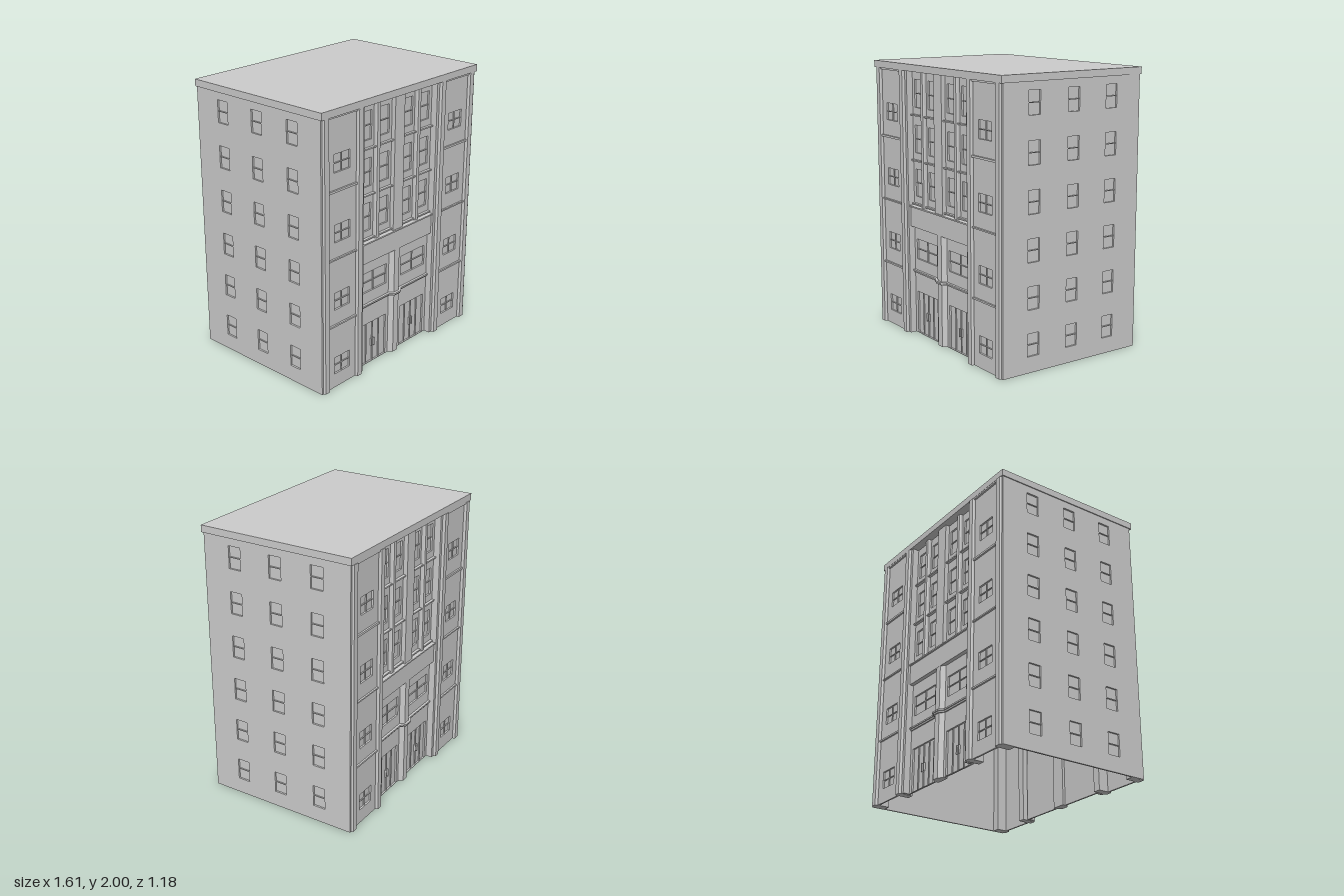
import * as THREE from 'three';

const mat = new THREE.MeshStandardMaterial({ color: 0xcccccc, side: THREE.DoubleSide, flatShading: true });
const T = 0.013; // wall thickness, also the depth of the window recesses

function add(parent, name, geo) {
  const m = new THREE.Mesh(geo, mat);
  m.name = name;
  parent.add(m);
  return m;
}

// box given by its limits
function block(parent, name, x0, x1, y0, y1, z0, z1) {
  add(parent, name, new THREE.BoxGeometry(x1 - x0, y1 - y0, z1 - z0))
    .position.set((x0 + x1) / 2, (y0 + y1) / 2, (z0 + z1) / 2);
}

// upright pier whose front corners are chamfered
function pier(parent, name, x, halfBack, halfFront, zBack, zMid, zFront, y0, y1) {
  const s = new THREE.Shape([
    [-halfBack, zBack], [-halfBack, zMid], [-halfFront, zFront],
    [halfFront, zFront], [halfBack, zMid], [halfBack, zBack],
  ].map(([px, pz]) => new THREE.Vector2(x + px, -pz)));
  const g = new THREE.ExtrudeGeometry(s, { depth: y1 - y0, bevelEnabled: false });
  g.rotateX(-Math.PI / 2);
  add(parent, name, g).position.y = y0;
}

function rect(target, x0, x1, y0, y1) {
  target.moveTo(x0, y0);
  target.lineTo(x1, y0);
  target.lineTo(x1, y1);
  target.lineTo(x0, y1);
  target.closePath();
  return target;
}

// wall facing +z with recessed windows; each opening is {x, y, w, h, cols, rows}
function wall(parent, name, x0, x1, y0, y1, z, openings = []) {
  const s = rect(new THREE.Shape(), x0, x1, y0, y1);
  for (const o of openings) {
    s.holes.push(rect(new THREE.Path(), o.x - o.w / 2, o.x + o.w / 2, o.y, o.y + o.h));
  }
  add(parent, name, new THREE.ExtrudeGeometry(s, { depth: T, bevelEnabled: false })).position.z = z - T;
  for (const o of openings) {
    const left = o.x - o.w / 2;
    add(parent, 'windowPane', new THREE.PlaneGeometry(o.w, o.h)).position.set(o.x, o.y + o.h / 2, z - T);
    for (let i = 1; i < o.cols; i++) {
      const x = left + (o.w * i) / o.cols;
      block(parent, 'mullion', x - 0.003, x + 0.003, o.y, o.y + o.h, z - T, z - 0.005);
    }
    for (let j = 1; j < o.rows; j++) {
      const y = o.y + (o.h * j) / o.rows;
      block(parent, 'glazingBar', left, left + o.w, y - 0.003, y + 0.003, z - T, z - 0.005);
    }
  }
}

function facade() {
  const f = new THREE.Group();
  f.name = 'facade';
  const zFlank = 0.57, zBay = 0.522, top = 1.95;

  for (const s of [-1, 1]) {
    const span = (a, b) => (s > 0 ? [a, b] : [-b, -a]);

    // flank with one window per storey
    wall(f, 'flankWall', ...span(0.38, 0.8), 0, top, zFlank,
      [0.105, 0.595, 1.085, 1.57].map(y => ({ x: s * 0.595, y, w: 0.15, h: 0.125, cols: 2, rows: 2 })));
    block(f, 'cornerStrip', ...span(0.785, 0.8), 0, top, zFlank - T, 0.576);
    for (const [y, h] of [[0.475, 0.012], [0.965, 0.01], [1.44, 0.015], [1.938, 0.012]]) {
      block(f, 'flankLedge', ...span(0.46, 0.73), y, y + h, zFlank - 0.005, 0.583);
    }

    // pilasters framing the flank
    for (const x of [0.432, 0.758]) {
      pier(f, 'pilaster', s * x, 0.028, 0.021, 0.48, 0.578, 0.59, 0, top);
    }

    // return of the recessed centre bay
    block(f, 'bayReveal', ...span(0.38, 0.392), 0, top, zBay - T, zFlank);

    // ground floor doors and the wide window above them
    wall(f, 'shopFront', ...span(0, 0.38), 0, 0.83, zBay, [
      { x: s * 0.215, y: 0.004, w: 0.27, h: 0.316, cols: 4, rows: 1 },
      { x: s * 0.215, y: 0.57, w: 0.27, h: 0.15, cols: 2, rows: 2 },
    ]);
    for (const dx of [-0.012, 0.012]) {
      const x = s * 0.215 + dx;
      block(f, 'doorHandle', x - 0.003, x + 0.003, 0.12, 0.18, zBay - T, zBay + 0.002);
    }

    // upper storeys, two columns of three windows
    const windows = [];
    for (const x of [0.123, 0.303]) {
      for (const y of [0.98, 1.3, 1.628]) {
        windows.push({ x: s * x, y: y + 0.06, w: 0.095, h: 0.2, cols: 1, rows: 2 });
        const [a, b] = span(x - 0.073, x + 0.073);
        block(f, 'windowSill', a, b, y, y + 0.01, zBay - 0.005, 0.543);
      }
    }
    wall(f, 'upperWall', ...span(0, 0.38), 0.96, top, zBay, windows);
    pier(f, 'upperMullion', s * 0.213, 0.02, 0.014, zBay - T, 0.54, 0.55, 0.965, top);
  }

  // middle of the bay
  block(f, 'centrePier', -0.05, 0.05, 0.965, top, zBay - T, 0.553);
  block(f, 'fasciaBand', -0.38, 0.38, 0.815, 0.965, zBay - T, 0.553);
  block(f, 'fasciaLedge', -0.38, 0.38, 0.962, 0.972, zBay - T, 0.565);
  pier(f, 'entrancePier', 0, 0.053, 0.026, 0.49, zBay, 0.552, 0, 0.815);
  for (const [y, out] of [[0.463, 0.01], [0.474, 0.018]]) {
    block(f, 'canopyLedge', -0.38, 0.38, y, y + 0.011, zBay - 0.005, zBay + out);
    pier(f, 'pierCollar', 0, 0.053 + out, 0.026 + out / 2, zBay - 0.005, zBay + out, 0.552 + out, y, y + 0.011);
  }
  return f;
}

function sideWall() {
  const g = new THREE.Group();
  g.name = 'side';
  const windows = [];
  for (const x of [-0.325, 0, 0.325]) {
    for (let i = 0; i < 6; i++) {
      windows.push({ x, y: 0.115 + i * 0.324, w: 0.095, h: 0.16, cols: 1, rows: 2 });
    }
  }
  wall(g, 'sideWall', -0.572, 0.572, 0, 1.95, 0.8, windows);
  return g;
}

export function createModel() {
  const model = new THREE.Group();
  model.name = 'building';

  // matching front and back, matching sides
  for (const turn of [0, Math.PI]) {
    const f = facade();
    f.rotation.y = turn;
    if (turn) f.position.z = -0.002;
    model.add(f);
    const s = sideWall();
    s.rotation.y = turn + Math.PI / 2;
    model.add(s);
  }

  // flat roof slab
  block(model, 'roof', -0.807, 0.807, 1.95, 2, -0.587, 0.591);
  return model;
}
